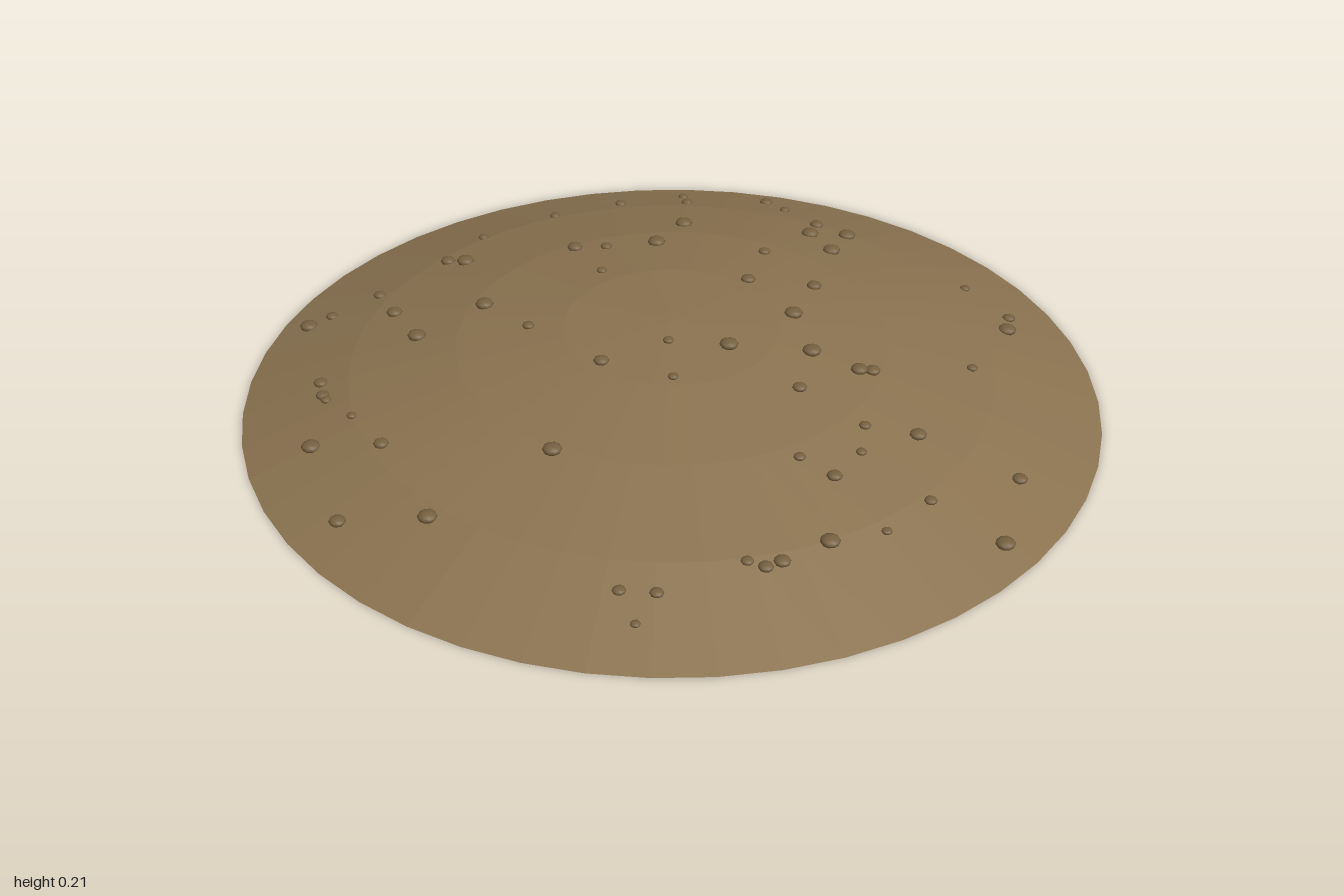
import * as THREE from 'three';

const HEIGHT = 0.2;
const RINGS = 4;
const SIDES = 48;
const SMALL_COUNT = 48;
const moundY = (r) => HEIGHT * (1 - r * r);

// Positions (x, z) of the largest pebbles
const largeSpots = [
  [0, -0.66], [0.07, -0.73], [-0.28, -0.5], [-0.26, -0.34], [0.21, -0.2], [0.32, -0.09],
  [-0.66, -0.08], [0.16, 0.01], [-0.45, 0.12], [-0.53, 0.28], [0.64, 0.4], [0.02, 0.51],
  [-0.52, 0.68], [-0.12, 0.77], [0.92, 0.14], [-0.88, 0.27], [0.1, -0.59], [0.59, -0.58],
];

// Small seeded generator for the scattered pebbles
function seeded(seed) {
  let state = seed;
  return () => {
    state = (state * 16807) % 2147483647;
    return state / 2147483647;
  };
}

// Height of the faceted slope at a distance from the centre
function slopeY(r) {
  const ring = Math.min(Math.floor(r * RINGS), RINGS - 1);
  return THREE.MathUtils.lerp(moundY(ring / RINGS), moundY((ring + 1) / RINGS), r * RINGS - ring);
}

export function createModel() {
  const model = new THREE.Group();
  model.name = 'pebbleMound';

  // Shallow earth dome, open underneath
  const profile = [];
  for (let i = 0; i <= RINGS; i++) {
    const r = 1 - i / RINGS;
    profile.push(new THREE.Vector2(r, moundY(r)));
  }
  const mound = new THREE.Mesh(
    new THREE.LatheGeometry(profile, SIDES),
    new THREE.MeshStandardMaterial({ color: 0x8b7350, flatShading: true, side: THREE.DoubleSide })
  );
  mound.name = 'earthMound';
  model.add(mound);

  // Flattened pebbles half sunk into the slope
  const pebbles = new THREE.Group();
  pebbles.name = 'pebbles';
  const pebbleGeometry = new THREE.SphereGeometry(1, 10, 6);
  const pebbleMaterial = new THREE.MeshStandardMaterial({ color: 0x766040 });
  const addPebble = (x, z, radius) => {
    const pebble = new THREE.Mesh(pebbleGeometry, pebbleMaterial);
    pebble.name = 'pebble';
    pebble.scale.set(radius, radius * 0.5, radius);
    pebble.position.set(x, slopeY(Math.hypot(x, z)) + radius * 0.2, z);
    pebbles.add(pebble);
  };
  for (const [x, z] of largeSpots) addPebble(x, z, 0.022);

  // Smaller pebbles scattered between them
  const random = seeded(4217);
  for (let i = 0; i < SMALL_COUNT; i++) {
    const angle = random() * Math.PI * 2;
    const r = 0.92 * Math.sqrt(random());
    addPebble(r * Math.cos(angle), r * Math.sin(angle), 0.011 + 0.009 * random());
  }
  model.add(pebbles);
  return model;
}
